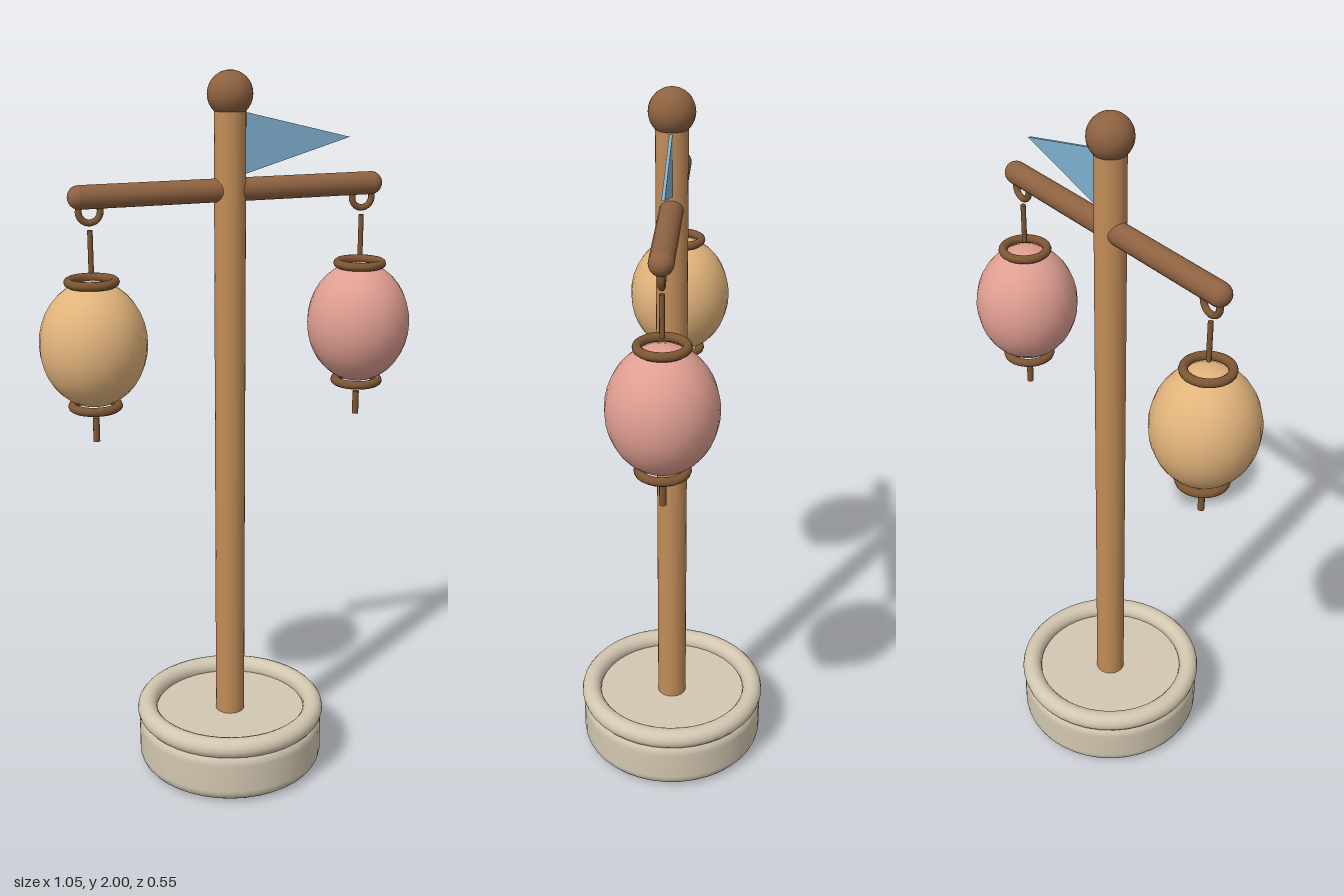
import * as THREE from 'three';

const mat = (name, color, side = THREE.FrontSide) => {
  const m = new THREE.MeshStandardMaterial({ color, side });
  m.name = name;
  return m;
};

export function createModel() {
  const stone = mat('stone', 0xd3c7b1);
  const wood = mat('lightWood', 0xc28c58);
  const darkWood = mat('darkWood', 0x8e6241);
  const trim = mat('lanternTrim', 0x7d5634);
  const amber = mat('amberPaper', 0xe2b47c);
  const rose = mat('rosePaper', 0xe09e92);
  const blue = mat('blueCloth', 0x7fb0cf);

  const model = new THREE.Group();
  model.name = 'lanternPost';
  const add = (parent, name, geometry, material, x = 0, y = 0, z = 0) => {
    const mesh = new THREE.Mesh(geometry, material);
    mesh.name = name;
    mesh.position.set(x, y, z);
    parent.add(mesh);
    return mesh;
  };

  // Round stone base with softened edges and a raised rim
  const profile = [new THREE.Vector2(0, 0)];
  const corner = (cy, from) => {
    for (let i = 0; i <= 6; i++) {
      const a = from + (i / 6) * Math.PI / 2;
      profile.push(new THREE.Vector2(0.23 + 0.04 * Math.cos(a), cy + 0.04 * Math.sin(a)));
    }
  };
  corner(0.04, -Math.PI / 2);
  corner(0.12, 0);
  profile.push(new THREE.Vector2(0, 0.16));
  add(model, 'base', new THREE.LatheGeometry(profile, 40), stone);
  add(model, 'baseRim', new THREE.TorusGeometry(0.246, 0.029, 14, 40).rotateX(Math.PI / 2), stone, 0, 0.169);

  // Post, finial and crossbar
  add(model, 'post', new THREE.CylinderGeometry(0.042, 0.042, 1.75, 24), wood, 0, 1.025);
  add(model, 'finial', new THREE.SphereGeometry(0.06, 24, 16), darkWood, 0, 1.94);
  add(model, 'crossbar', new THREE.CapsuleGeometry(0.031, 0.81, 8, 20).rotateZ(Math.PI / 2), darkWood, 0, 1.695);

  // Pennant
  const flag = new THREE.Shape([
    new THREE.Vector2(0.035, 1.895), new THREE.Vector2(0.035, 1.733), new THREE.Vector2(0.338, 1.82),
  ]);
  add(model, 'pennant',
    new THREE.ExtrudeGeometry(flag, { depth: 0.008, bevelEnabled: false }).translate(0, 0, -0.004), blue);

  // Hanging lanterns
  const makeLantern = (name, x, paper) => {
    const lantern = new THREE.Group();
    lantern.name = name;
    lantern.position.x = x;
    add(lantern, 'hookRing', new THREE.TorusGeometry(0.029, 0.009, 10, 20), trim, 0, 1.658);
    add(lantern, 'hanger', new THREE.CylinderGeometry(0.007, 0.007, 0.11, 10), trim, 0, 1.555);
    add(lantern, 'paperShade', new THREE.SphereGeometry(0.143, 24, 18).scale(1, 1.175, 1), paper, 0, 1.31);
    for (const [ring, y] of [['topRing', 1.476], ['bottomRing', 1.141]]) {
      add(lantern, ring, new THREE.TorusGeometry(0.061, 0.012, 10, 24).rotateX(Math.PI / 2), trim, 0, y);
    }
    add(lantern, 'tassel', new THREE.CylinderGeometry(0.009, 0.009, 0.066, 10), trim, 0, 1.074);
    model.add(lantern);
  };
  makeLantern('leftLantern', 0.38, rose);
  makeLantern('rightLantern', -0.38, amber);

  return model;
}
